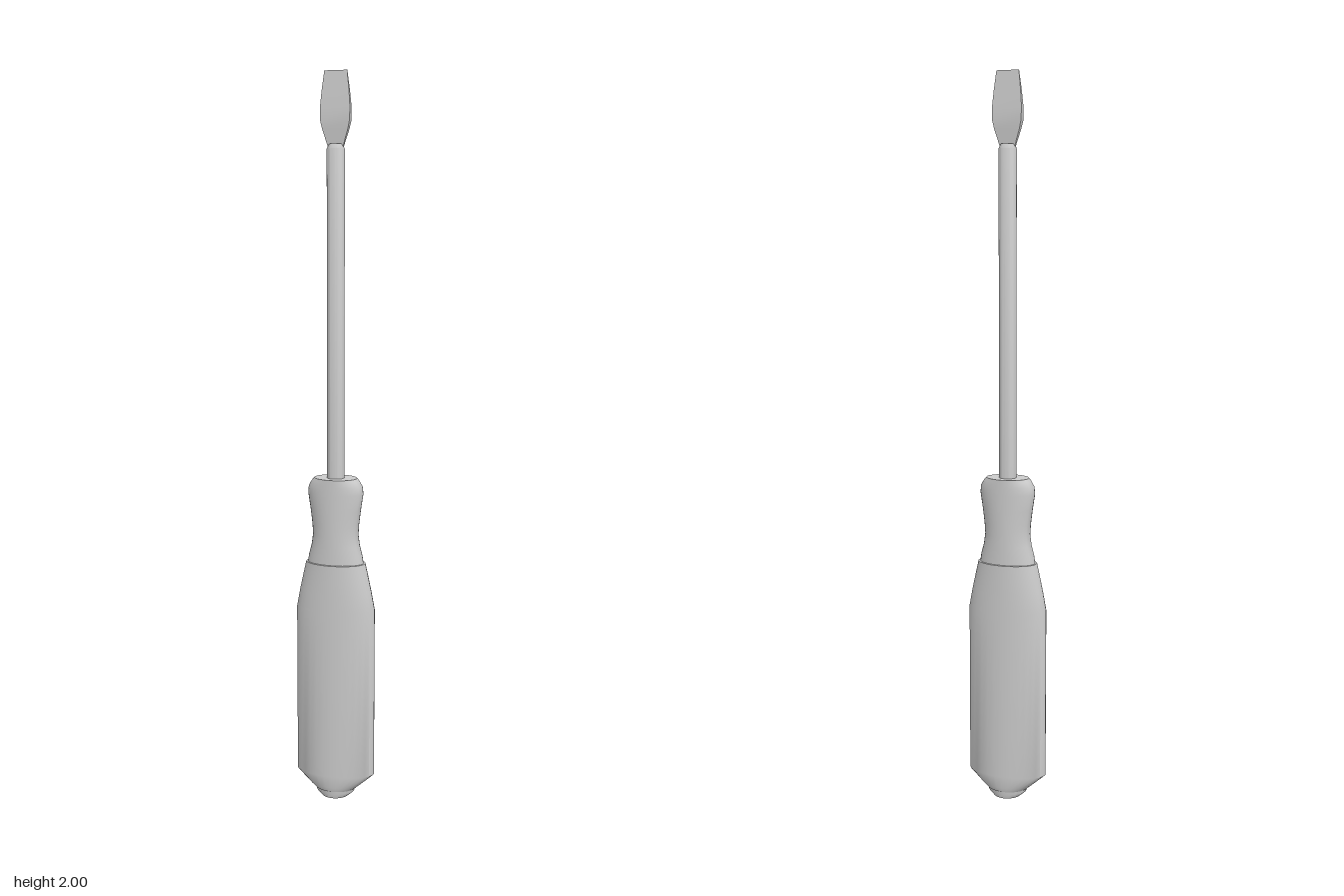
import * as THREE from 'three';
import { toCreasedNormals } from 'three/addons/utils/BufferGeometryUtils.js';

const material = new THREE.MeshStandardMaterial({ color: 0xcccccc });

// Capped loft through rows of [y, half width, half depth]; outline gives unit [x, z] corners
function loft(rows, outline, crease) {
  const n = outline.length, pos = [], idx = [];
  for (const [y, rx, rz] of rows)
    for (const [x, z] of outline) pos.push(x * rx, y, z * rz);
  for (let r = 0; r < rows.length - 1; r++)
    for (let i = 0; i < n; i++) {
      const j = (i + 1) % n, a = r * n + i, b = r * n + j;
      idx.push(a, a + n, b, b, a + n, b + n);
    }
  const top = (rows.length - 1) * n;
  for (let i = 1; i < n - 1; i++) {
    idx.push(0, i, i + 1);
    idx.push(top, top + i + 1, top + i);
  }
  const g = new THREE.BufferGeometry();
  g.setAttribute('position', new THREE.Float32BufferAttribute(pos, 3));
  g.setIndex(idx);
  return toCreasedNormals(g, crease);
}

const ellipse = Array.from({ length: 32 }, (_, i) => {
  const a = (i / 32) * Math.PI * 2;
  return [Math.cos(a), Math.sin(a)];
});
const rectangle = [[1, 1], [-1, 1], [-1, -1], [1, -1]];

export function createModel() {
  const model = new THREE.Group();
  const add = (name, geometry) => {
    const mesh = new THREE.Mesh(geometry, material);
    mesh.name = name;
    model.add(mesh);
  };

  // Butt plug under the grip
  add('handleEnd', loft([
    [0, 0.04, 0.042], [0.012, 0.054, 0.045], [0.04, 0.06, 0.045],
  ], ellipse, 0.5));

  // Wide flattened grip
  add('grip', loft([
    [0.022, 0.058, 0.049], [0.035, 0.074, 0.053], [0.068, 0.112, 0.053],
    [0.548, 0.112, 0.053], [0.6, 0.102, 0.053], [0.65, 0.091, 0.053], [0.68, 0.084, 0.053],
  ], ellipse, 0.6));

  // Waisted neck with a rounded collar
  add('neck', loft([
    [0.66, 0.082, 0.046], [0.7, 0.076, 0.046], [0.73, 0.068, 0.046], [0.76, 0.064, 0.046],
    [0.79, 0.066, 0.046], [0.83, 0.071, 0.046], [0.875, 0.078, 0.046],
    [0.895, 0.076, 0.046], [0.91, 0.067, 0.046], [0.918, 0.06, 0.046],
  ], ellipse, 0.6));

  // Round steel shaft with a chamfered end
  add('shaft', loft([
    [0.9, 0.024, 0.024], [1.8, 0.024, 0.024], [1.812, 0.018, 0.018],
  ], ellipse, 0.5));

  // Flat blade, flaring then tapering to a thin tip
  add('blade', loft([
    [1.805, 0.021, 0.004], [1.825, 0.027, 0.006], [1.85, 0.035, 0.008], [1.872, 0.04, 0.01],
    [1.905, 0.041, 0.0085], [1.95, 0.037, 0.005], [2, 0.031, 0.001],
  ], rectangle, 0.5));

  return model;
}
